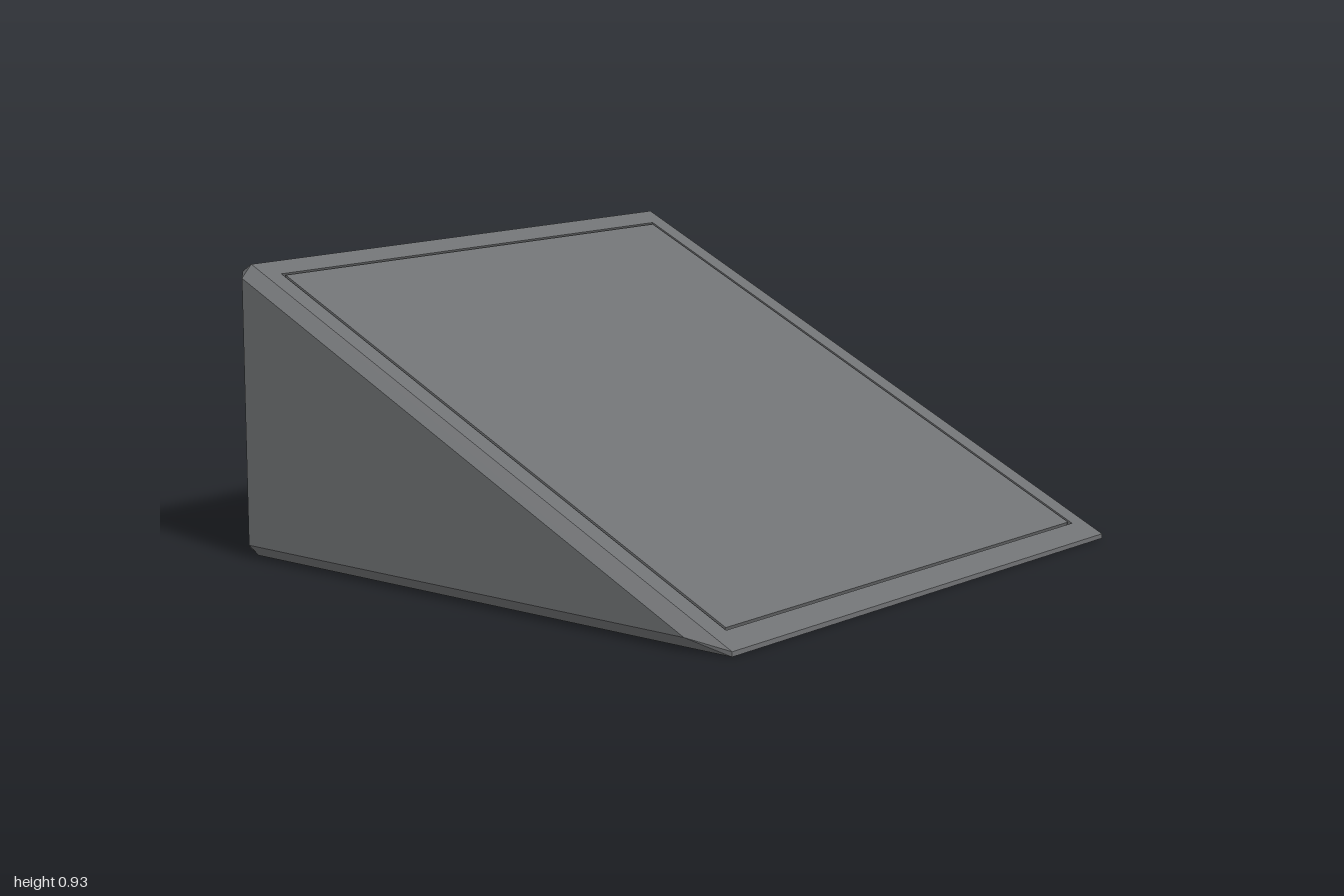
import * as THREE from 'three';

const shellMat = new THREE.MeshStandardMaterial({ color: 0x6f7173 });
shellMat.name = 'dark grey shell';
const metalMat = new THREE.MeshStandardMaterial({ color: 0x9ba2a7 });
metalMat.name = 'pale steel';

const GROOVE = 0.012;

function rect(shape, x0, x1, y0, y1) {
  shape.moveTo(x0, y0);
  shape.lineTo(x1, y0);
  shape.lineTo(x1, y1);
  shape.lineTo(x0, y1);
  shape.closePath();
  return shape;
}

function circle(shape, x, y, r) {
  shape.absarc(x, y, r, 0, Math.PI * 2, false);
  return shape;
}

// Solid plate whose outer surface is local z = -sink and which grows inwards
function plate(name, shape, depth, mat = shellMat, sink = 0) {
  const geo = new THREE.ExtrudeGeometry(shape, { depth, bevelEnabled: false, curveSegments: 24 });
  geo.translate(0, 0, -depth - sink);
  const mesh = new THREE.Mesh(geo, mat);
  mesh.name = name;
  return mesh;
}

// Group whose local x, y, z follow u, v and the outward normal
function faceGroup(name, origin, u, v) {
  const g = new THREE.Group();
  g.name = name;
  const n = new THREE.Vector3().crossVectors(u, v);
  g.quaternion.setFromRotationMatrix(new THREE.Matrix4().makeBasis(u, v, n));
  g.position.copy(origin);
  return g;
}

// Outer frame, engraved square line and its floor
function framed(group, name, outer, inner) {
  const [x0, x1, y0, y1] = inner;
  const frame = rect(new THREE.Shape(), ...outer);
  frame.holes.push(rect(new THREE.Path(), x0, x1, y0, y1));
  group.add(plate(name + 'Frame', frame, GROOVE));
  const floor = rect(new THREE.Shape(), x0 - 0.01, x1 + 0.01, y0 - 0.01, y1 + 0.01);
  floor.holes.push(rect(new THREE.Path(), x0 + 0.02, x1 - 0.02, y0 + 0.02, y1 - 0.02));
  group.add(plate(name + 'GrooveFloor', floor, 0.003, shellMat, GROOVE));
  return rect(new THREE.Shape(), x0 + 0.01, x1 - 0.01, y0 + 0.01, y1 - 0.01);
}

// Panel with four round sockets and a ring-and-disc mount set into it
function mountPanel(group, name, shape, depth, r, spread, socketR) {
  shape.holes.push(circle(new THREE.Path(), 0, 0, r));
  for (const sx of [-1, 1]) for (const sy of [-1, 1]) {
    const x = sx * spread, y = sy * spread;
    shape.holes.push(circle(new THREE.Path(), x, y, socketR));
    const floor = plate(name + 'SocketFloor', circle(new THREE.Shape(), 0, 0, socketR + 0.005), 0.003, shellMat, depth);
    floor.position.set(x, y, 0);
    group.add(floor);
  }
  group.add(plate(name + 'Panel', shape, depth));
  const island = circle(new THREE.Shape(), 0, 0, r * 0.78);
  island.holes.push(circle(new THREE.Path(), 0, 0, r * 0.37));
  group.add(plate(name + 'MountCollar', island, GROOVE));
  group.add(plate(name + 'MountRingAndDisc', circle(new THREE.Shape(), 0, 0, r), 0.005, metalMat, GROOVE));
}

// Side walls and all chamfers, from the wedge profile [y, z] and the inset side triangle
function wedgeShell() {
  const P = [[0.015, 0.98], [0.93, -0.945], [0.905, -0.985], [0.02, -0.985], [0, -0.945], [0, 0.98]];
  const S = [[0.04, 0.84], [0.89, -0.945], [0.04, -0.945]];
  const inner = [0, 1, 1, 2, 2, 0, 0];
  const pos = [];
  const tri = (a, b, c) => pos.push(...a, ...b, ...c);
  for (const s of [1, -1]) {
    const p = P.map(([y, z]) => [0.96 * s, y, z]);
    const q = S.map(([y, z]) => [s, y, z]);
    const put = (a, b, c) => (s > 0 ? tri(a, b, c) : tri(a, c, b));
    put(q[0], q[2], q[1]);
    for (let i = 0; i < 6; i++) {
      const a = p[i], b = p[(i + 1) % 6], c = q[inner[i]], d = q[inner[i + 1]];
      put(a, c, b);
      if (c !== d) put(c, d, b);
    }
  }
  // Chamfers along the top back edge, bottom back edge and nose
  for (const i of [1, 3, 5]) {
    const [y0, z0] = P[i], [y1, z1] = P[(i + 1) % 6];
    const a = [0.96, y0, z0], b = [0.96, y1, z1], c = [-0.96, y1, z1], d = [-0.96, y0, z0];
    tri(a, b, c);
    tri(a, c, d);
  }
  const geo = new THREE.BufferGeometry();
  geo.setAttribute('position', new THREE.Float32BufferAttribute(pos, 3));
  geo.computeVertexNormals();
  const mesh = new THREE.Mesh(geo, shellMat);
  mesh.name = 'wedgeShell';
  return mesh;
}

export function createModel() {
  const model = new THREE.Group();
  model.name = 'wedgeBlock';
  model.add(wedgeShell());
  const V = (x, y, z) => new THREE.Vector3(x, y, z);

  // Sloping top with an inset square panel
  const slope = faceGroup('slopingTop', V(0, 0.4725, 0.0175), V(1, 0, 0), V(0, 0.915, -1.925).normalize());
  const half = Math.hypot(0.915, 1.925) / 2;
  const topPanel = framed(slope, 'top', [-0.96, 0.96, -half, half], [-0.895, 0.895, -0.983, 0.993]);
  slope.add(plate('topPanel', topPanel, GROOVE));
  model.add(slope);

  // Underside
  const base = faceGroup('underside', V(0, 0, 0), V(1, 0, 0), V(0, 0, 1));
  const basePanel = framed(base, 'base', [-0.96, 0.96, -0.945, 0.98], [-0.895, 0.895, -0.88, 0.895]);
  mountPanel(base, 'base', basePanel, 0.04, 0.355, 0.585, 0.05);
  model.add(base);

  // Back wall
  const back = faceGroup('backWall', V(0, 0.465, -0.985), V(-1, 0, 0), V(0, 1, 0));
  mountPanel(back, 'back', rect(new THREE.Shape(), -0.96, 0.96, -0.445, 0.44), 0.05, 0.177, 0.29, 0.038);
  model.add(back);

  return model;
}
